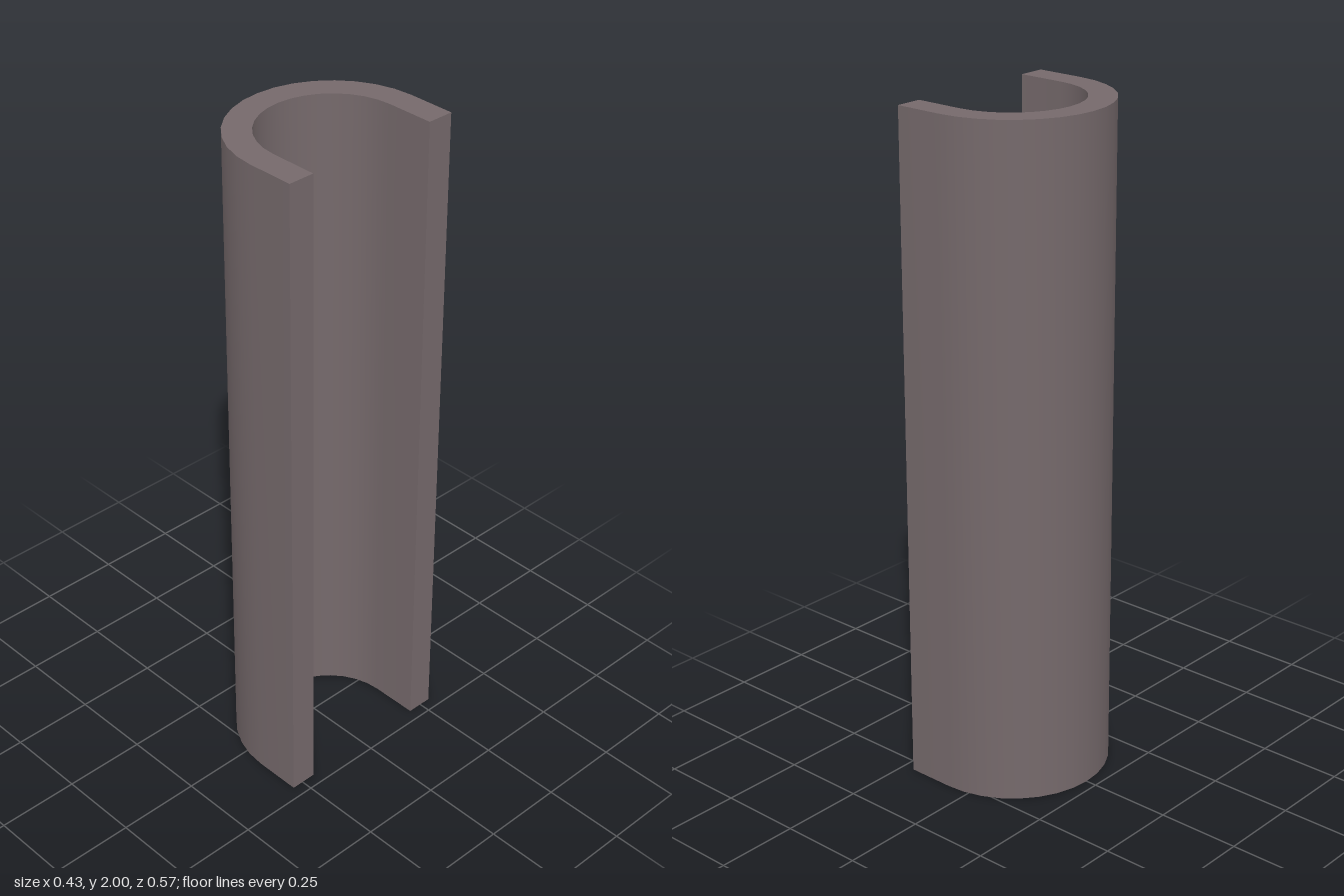
import * as THREE from 'three';
import { toCreasedNormals } from 'three/addons/utils/BufferGeometryUtils.js';

export function createModel() {
  const group = new THREE.Group();
  group.name = 'channel';

  const height = 2, outer = 0.286, inner = 0.206;
  const arcX = 0.07, endX = 0.214;

  // U-shaped section: half ring with two straight lips, open towards +x
  const section = new THREE.Shape();
  section.moveTo(endX, outer);
  section.lineTo(arcX, outer);
  section.absarc(arcX, 0, outer, Math.PI / 2, Math.PI * 1.5, false);
  section.lineTo(endX, -outer);
  section.lineTo(endX, -inner);
  section.lineTo(arcX, -inner);
  section.absarc(arcX, 0, inner, Math.PI * 1.5, Math.PI / 2, true);
  section.lineTo(endX, inner);
  section.closePath();

  // Curved wall, extruded upright; 16 facets around the half ring
  const geometry = new THREE.ExtrudeGeometry(section, {
    depth: height, bevelEnabled: false, curveSegments: 8,
  });
  geometry.rotateX(-Math.PI / 2);

  const wall = new THREE.Mesh(
    toCreasedNormals(geometry, 0.6),
    new THREE.MeshStandardMaterial({ color: 0x75696b }),
  );
  wall.name = 'channelWall';
  group.add(wall);
  return group;
}
